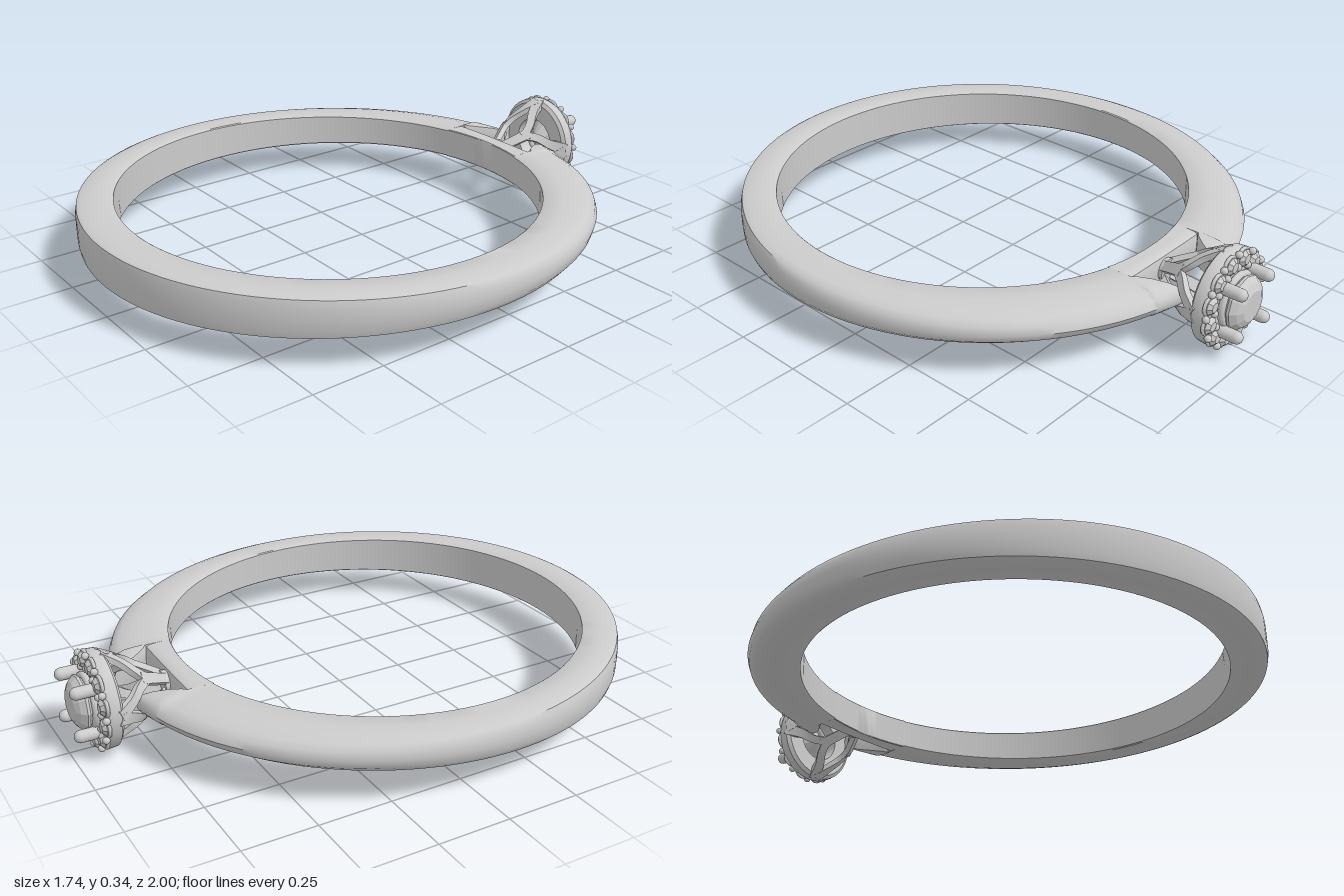
import * as THREE from 'three';
import { mergeVertices, toCreasedNormals } from 'three/addons/utils/BufferGeometryUtils.js';

const V = (x, y, z) => new THREE.Vector3(x, y, z);
const material = new THREE.MeshStandardMaterial({ color: 0xcccccc });
const flatMaterial = new THREE.MeshStandardMaterial({ color: 0xcccccc, flatShading: true });
const MID_Y = 0.175;

function add(parent, name, geometry, mat = material) {
  const mesh = new THREE.Mesh(geometry, mat);
  mesh.name = name;
  parent.add(mesh);
  return mesh;
}

// Skin a row of equal-sized cross-sections, cap both ends, and face outward
function loft(rings, crease = 0.7) {
  const n = rings[0].length, pos = [], idx = [];
  rings.forEach(r => r.forEach(p => pos.push(p.x, p.y, p.z)));
  for (let i = 0; i < rings.length - 1; i++) {
    for (let j = 0; j < n; j++) {
      const a = i * n + j, b = i * n + (j + 1) % n;
      idx.push(a, b, a + n, b, b + n, a + n);
    }
  }
  [0, rings.length - 1].forEach((r, end) => {
    const c = rings[r].reduce((s, p) => s.add(p), V(0, 0, 0)).divideScalar(n);
    const ci = pos.push(c.x, c.y, c.z) / 3 - 1;
    for (let j = 0; j < n; j++) {
      const a = r * n + j, b = r * n + (j + 1) % n;
      if (end) idx.push(ci, a, b); else idx.push(ci, b, a);
    }
  });
  let volume = 0;
  const at = i => V(pos[3 * i], pos[3 * i + 1], pos[3 * i + 2]);
  for (let i = 0; i < idx.length; i += 3) {
    volume += at(idx[i]).dot(at(idx[i + 1]).cross(at(idx[i + 2])));
  }
  if (volume < 0) idx.reverse();
  const g = new THREE.BufferGeometry();
  g.setAttribute('position', new THREE.Float32BufferAttribute(pos, 3));
  g.setIndex(idx);
  return toCreasedNormals(mergeVertices(g), crease);
}

// Band cross-section: square-edged (k = 0) to domed (k = 1), as [depth, half width]
const SQUARE = [[0, 0.97], [0.03, 1], [0.5, 1], [0.88, 1], [0.97, 0.92], [1, 0.6], [1, 0]];
const DOMED = [[0, 0.92], [0.03, 1], [0.35, 0.98], [0.6, 0.88], [0.82, 0.68], [0.95, 0.4], [1, 0]];
function section([xi, zi], [xo, zo], halfWidth, k) {
  const half = SQUARE.map(([u, v], i) => [
    THREE.MathUtils.lerp(u, DOMED[i][0], k), THREE.MathUtils.lerp(v, DOMED[i][1], k)]);
  const lower = half.slice(0, -1).reverse().map(([u, v]) => [u, -v]);
  return [...half, ...lower].map(([u, v]) =>
    V(xi + (xo - xi) * u, MID_Y + v * halfWidth, zi + (zo - zi) * u));
}
const innerPoint = a => [0.73 * Math.sin(a), 0.1425 - 0.73 * Math.cos(a)];
const outerPoint = a => [0.87 * Math.sin(a), 0.1 - 0.9 * Math.cos(a)];

function buildBand(group) {
  const gap = 0.25, steps = 120, rings = [];
  // shoulders hook inward over the notch to touch the setting
  const shoulder = [
    [[0.1, -0.775], [0.098, -0.796], 0.03],
    [[0.115, -0.745], [0.125, -0.791], 0.04],
    [[0.14, -0.7], [0.16, -0.784], 0.048],
    [[0.165, -0.665], [0.19, -0.778], 0.053],
    [[0.182, -0.652], [0.205, -0.774], 0.055],
  ];
  shoulder.forEach(([i, o, w]) => rings.push(section(i, o, w, 1)));
  for (let s = 0; s <= steps; s++) {
    const a = gap + (2 * Math.PI - 2 * gap) * s / steps, c = Math.cos(a);
    rings.push(section(innerPoint(a), outerPoint(a), 0.0635 - 0.0085 * c, (1 + c) / 2));
  }
  shoulder.slice().reverse().forEach(([[xi, zi], [xo, zo], w]) =>
    rings.push(section([-xi, zi], [-xo, zo], w, 1)));
  add(group, 'band', loft(rings));

  // thin bridge closing the band below the notch
  const bridge = [];
  for (let s = 0; s <= 16; s++) {
    const a = gap * 1.01 * (s / 8 - 1), p = innerPoint(a);
    bridge.push(section(p, [p[0] * 1.04, -0.657], 0.0553, 0.3));
  }
  add(group, 'bridge', loft(bridge));
}

// Bell surface of the basket, height h along the setting's axis
const bellRadius = h => 0.036 + 0.72 * h - 0.5 * h * h;
const onBell = (angle, h, inset = 0) => {
  const r = bellRadius(h) - inset;
  return V(r * Math.cos(angle), h, r * Math.sin(angle));
};

// Flat strut that follows the bell; keys are [angle, height, width]
function strut(keys) {
  const curve = new THREE.CatmullRomCurve3(keys.map(k => V(...k)));
  const rings = [];
  for (let s = 0; s <= 12; s++) {
    const p = curve.getPoint(s / 12), q = curve.getPoint(Math.min(1, s / 12 + 0.01));
    const o = curve.getPoint(Math.max(0, s / 12 - 0.01));
    const tangent = onBell(q.x, q.y).sub(onBell(o.x, o.y)).normalize();
    const normal = V(Math.cos(p.x), -0.55, Math.sin(p.x)).normalize();
    const side = tangent.clone().cross(normal).normalize().multiplyScalar(p.z / 2);
    const outer = onBell(p.x, p.y), inner = outer.clone().addScaledVector(normal, -0.02);
    rings.push([outer.clone().add(side), outer.clone().sub(side),
      inner.clone().sub(side), inner.clone().add(side)]);
  }
  return loft(rings, 0.6);
}

function buildSetting(group) {
  const head = new THREE.Group();
  head.name = 'setting';
  head.position.set(0, MID_Y, -0.66);
  head.rotation.x = -Math.PI / 2;
  group.add(head);

  // basket: four stems, each forking into two arms that frame a petal window
  add(head, 'basketFoot', new THREE.CylinderGeometry(0.042, 0.036, 0.035, 32)).position.y = -0.005;
  for (let i = 0; i < 4; i++) {
    const a = Math.PI / 4 + i * Math.PI / 2;
    add(head, 'basketStem', strut([[a, 0, 0.035], [a, 0.05, 0.036], [a, 0.1, 0.042]]));
    for (const s of [-1, 1]) {
      add(head, 'basketArm', strut([[a, 0.075, 0.03], [a + s * 0.28, 0.115, 0.03],
        [a + s * 0.58, 0.155, 0.034], [a + s * 0.76, 0.205, 0.045]]));
    }
  }

  // halo plate
  const profile = [[0.085, 0.2], [0.15, 0.197], [0.163, 0.207], [0.165, 0.235],
    [0.158, 0.248], [0.085, 0.25], [0.085, 0.2]].map(p => new THREE.Vector2(...p));
  add(head, 'haloPlate', toCreasedNormals(new THREE.LatheGeometry(profile, 64), 0.6));

  // halo stones in round seats, with gripping beads between them
  const count = 12;
  const gem = new THREE.LatheGeometry([[0.03, 0], [0.03, 0.006], [0.017, 0.018], [0, 0.018]]
    .map(p => new THREE.Vector2(...p)), 8);
  const seat = new THREE.TorusGeometry(0.03, 0.006, 8, 24).rotateX(Math.PI / 2);
  const bead = new THREE.SphereGeometry(0.0125, 12, 8);
  for (let i = 0; i < count; i++) {
    const a = (i + 0.5) / count * Math.PI * 2, b = i / count * Math.PI * 2;
    add(head, 'haloStone', gem, flatMaterial).position.set(0.134 * Math.cos(a), 0.25, 0.134 * Math.sin(a));
    add(head, 'haloSeat', seat).position.set(0.134 * Math.cos(a), 0.248, 0.134 * Math.sin(a));
    for (const r of [0.112, 0.157]) {
      add(head, 'haloBead', bead).position.set(r * Math.cos(b), 0.256, r * Math.sin(b));
    }
  }

  // centre stone: pavilion, girdle, crown and table
  const cut = [[0, 0.19], [0.092, 0.283], [0.092, 0.292], [0.075, 0.31], [0.052, 0.322], [0, 0.322]];
  add(head, 'centreStone', new THREE.LatheGeometry(cut.map(p => new THREE.Vector2(...p)), 12), flatMaterial);
  const ring = add(head, 'centreSeat', new THREE.TorusGeometry(0.086, 0.012, 10, 48));
  ring.rotation.x = Math.PI / 2;
  ring.position.y = 0.264;

  // four round-tipped prongs
  const prong = new THREE.CapsuleGeometry(0.021, 0.1, 6, 16);
  for (const x of [-1, 1]) {
    for (const z of [-1, 1]) add(head, 'prong', prong).position.set(x * 0.076, 0.269, z * 0.076);
  }
}

export function createModel() {
  const group = new THREE.Group();
  group.name = 'ring';
  buildBand(group);
  buildSetting(group);
  return group;
}
